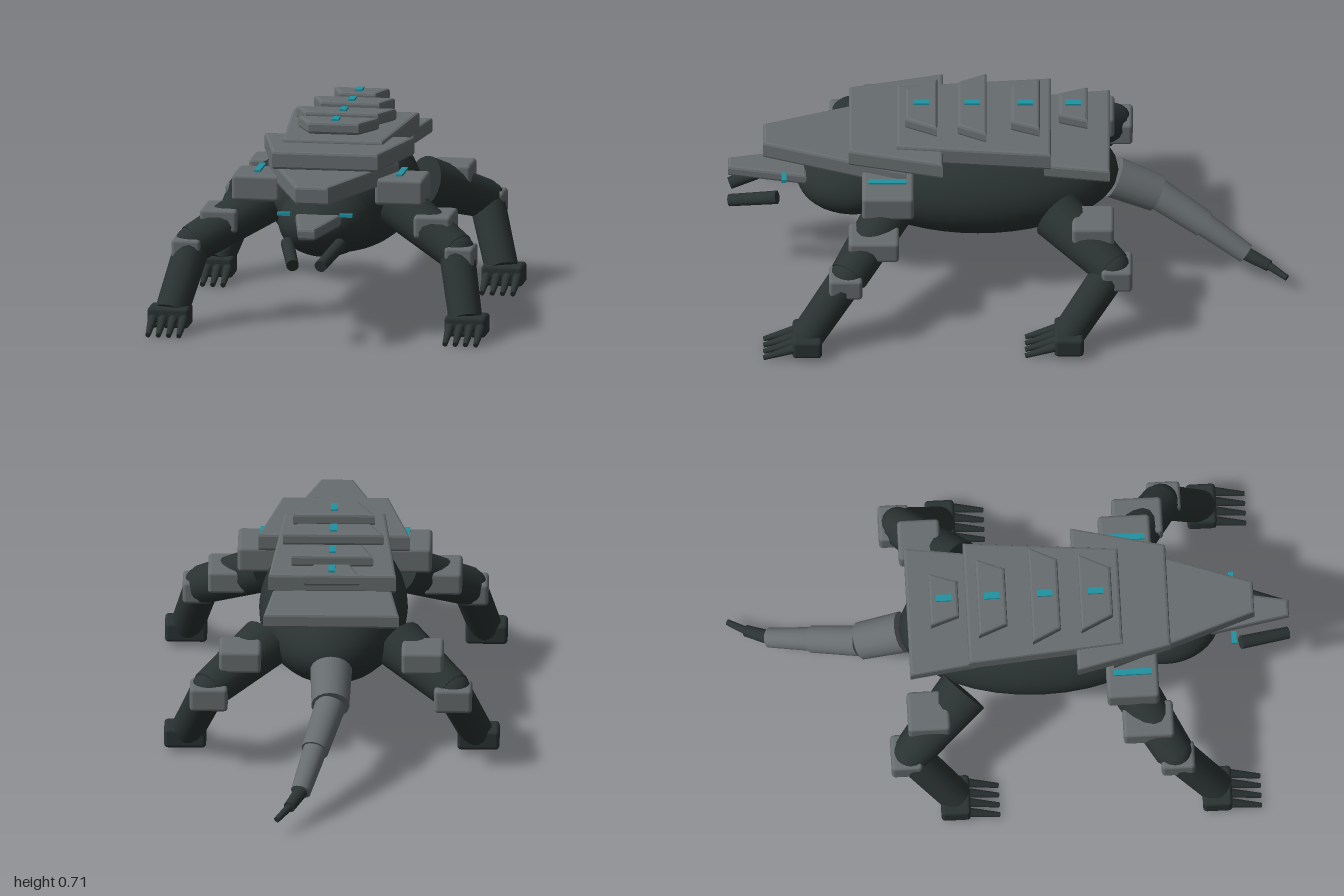
import * as THREE from 'three';
import { RoundedBoxGeometry } from 'three/addons/geometries/RoundedBoxGeometry.js';

export function createModel() {
  const root = new THREE.Group();
  root.name = 'armouredQuadruped';
  const mat = (name, color) => {
    const m = new THREE.MeshStandardMaterial({ color });
    m.name = name;
    return m;
  };
  const hide = mat('dark hide', 0x2a3332);
  const armour = mat('grey armour', 0x676d6f);
  const glow = mat('teal light', 0x2093a2);

  const add = (name, geo, material, pos = [0, 0, 0], parent = root) => {
    const mesh = new THREE.Mesh(geo, material);
    mesh.name = name;
    mesh.position.set(...pos);
    parent.add(mesh);
    return mesh;
  };

  const ellipsoid = (name, pos, r) =>
    add(name, new THREE.SphereGeometry(1, 36, 24), hide, pos).scale.set(...r);

  const pad = (name, pos, size, material, parent) =>
    add(name, new RoundedBoxGeometry(...size, 3, 0.014), material, pos, parent);

  // Tapered limb between two points
  const limb = (name, a, b, ra, rb, material, parent = root) => {
    const p = new THREE.Vector3(...a), q = new THREE.Vector3(...b);
    const dir = q.clone().sub(p);
    const mesh = add(name, new THREE.CylinderGeometry(rb, ra, dir.length(), 18), material,
      p.clone().add(q).multiplyScalar(0.5).toArray(), parent);
    mesh.quaternion.setFromUnitVectors(new THREE.Vector3(0, 1, 0), dir.normalize());
    return mesh;
  };

  // Bevelled trapezoid plate: half widths at its rear and front edges
  const plate = (name, zRear, zFront, wRear, wFront, y0, y1, b = 0.01) => {
    const s = new THREE.Shape([
      new THREE.Vector2(-wRear, zRear), new THREE.Vector2(wRear, zRear),
      new THREE.Vector2(wFront, zFront), new THREE.Vector2(-wFront, zFront),
    ]);
    const geo = new THREE.ExtrudeGeometry(s, {
      depth: y1 - y0 - 2 * b, bevelEnabled: true, bevelSize: b, bevelThickness: b,
      bevelOffset: -b, bevelSegments: 2,
    });
    geo.rotateX(Math.PI / 2);
    return add(name, geo, armour, [0, y1 - b, 0]);
  };

  // Body and head
  ellipsoid('body', [0, 0.41, 0.105], [0.265, 0.205, 0.5]);
  ellipsoid('head', [0, 0.385, 0.55], [0.168, 0.125, 0.2]);

  // Back armour, tail end to snout
  plate('rumpPlate', -0.365, -0.13, 0.242, 0.21, 0.53, 0.585);
  plate('backPlate', -0.155, 0.395, 0.228, 0.18, 0.577, 0.647);
  plate('shoulderPlate', 0.23, 0.565, 0.27, 0.19, 0.568, 0.634);
  plate('neckPlate', 0.36, 0.87, 0.235, 0.058, 0.503, 0.57);
  plate('snoutPlate', 0.715, 0.995, 0.082, 0.03, 0.4, 0.442);

  // Raised spine plates with a light on each
  [[-0.285, -0.182, 0.1, 0.065], [-0.115, -0.012, 0.146, 0.105],
    [0.075, 0.177, 0.18, 0.13], [0.25, 0.365, 0.146, 0.09]].forEach(([z0, z1, w0, w1], i) => {
    plate('spinePlate' + (i + 1), z0, z1, w0, w1, 0.66, 0.704);
    add('spineLight' + (i + 1), new THREE.BoxGeometry(0.024, 0.009, 0.055), glow,
      [0, 0.7065, (z0 + z1) / 2]);
  });

  // Tail
  const tail = [[0, 0.375, -0.38], [0, 0.305, -0.53], [0.052, 0.205, -0.7],
    [0.1, 0.11, -0.85], [0.14, 0.085, -0.932], [0.183, 0.064, -0.995]];
  const tailR = [[0.075, 0.068], [0.056, 0.049], [0.043, 0.036], [0.025, 0.021], [0.014, 0.011]];
  tailR.forEach(([ra, rb], i) =>
    limb('tailSegment' + (i + 1), tail[i], tail[i + 1], ra, rb, i < 3 ? armour : hide));

  // Leg: hip, knee, ankle joints, plus the two armour pads
  const leg = (name, s, { hip, knee, ankle, hand, r, pads }) => {
    const g = new THREE.Group();
    g.name = name;
    root.add(g);
    const m = ([x, y, z]) => [s * x, y, z];
    limb('upperLeg', m(hip), m(knee), r, 0.07, hide, g);
    limb('lowerLeg', m(knee), m(ankle), 0.064, 0.06, hide, g);
    add('kneeJoint', new THREE.SphereGeometry(0.066, 18, 12), hide, m(knee), g);
    pads.forEach(([pos, size], i) => pad(i ? 'kneePad' : 'thighPad', m(pos), size, armour, g));
    pad('foot', m(hand), [0.15, 0.075, 0.105], hide, g);
    for (let i = 0; i < 4; i++) {
      const x = hand[0] + (i - 1.5) * 0.037;
      limb('toe', m([x, 0.06, hand[2] + 0.03]), m([x, 0.014, hand[2] + 0.155]), 0.018, 0.009, hide, g);
    }
  };

  const front = {
    hip: [0.24, 0.425, 0.41], knee: [0.475, 0.29, 0.565], ankle: [0.53, 0.07, 0.71],
    hand: [0.535, 0.057, 0.712], r: 0.085,
    pads: [[[0.385, 0.373, 0.475], [0.135, 0.085, 0.18]], [[0.492, 0.275, 0.575], [0.105, 0.085, 0.12]]],
  };
  const rear = {
    hip: [0.24, 0.39, -0.175], knee: [0.435, 0.295, -0.375], ankle: [0.515, 0.07, -0.22],
    hand: [0.522, 0.057, -0.22], r: 0.095,
    pads: [[[0.325, 0.4, -0.305], [0.15, 0.085, 0.15]], [[0.435, 0.282, -0.39], [0.135, 0.09, 0.11]]],
  };

  for (const s of [1, -1]) {
    const side = s > 0 ? 'left' : 'right';
    leg(side + 'FrontLeg', s, front);
    leg(side + 'RearLeg', s, rear);

    // Shoulder block with light strip
    pad(side + 'ShoulderBlock', [s * 0.258, 0.487, 0.425], [0.175, 0.096, 0.185], armour);
    add(side + 'ShoulderLight', new THREE.BoxGeometry(0.022, 0.008, 0.135), glow, [s * 0.256, 0.546, 0.427]);

    // Eye and mandible
    add(side + 'Eye', new THREE.BoxGeometry(0.046, 0.012, 0.018), glow, [s * 0.112, 0.456, 0.795]);
    limb(side + 'Mandible', [s * 0.095, 0.355, 0.82], [s * 0.05, 0.308, 0.99], 0.024, 0.022, hide);
  }

  return root;
}
